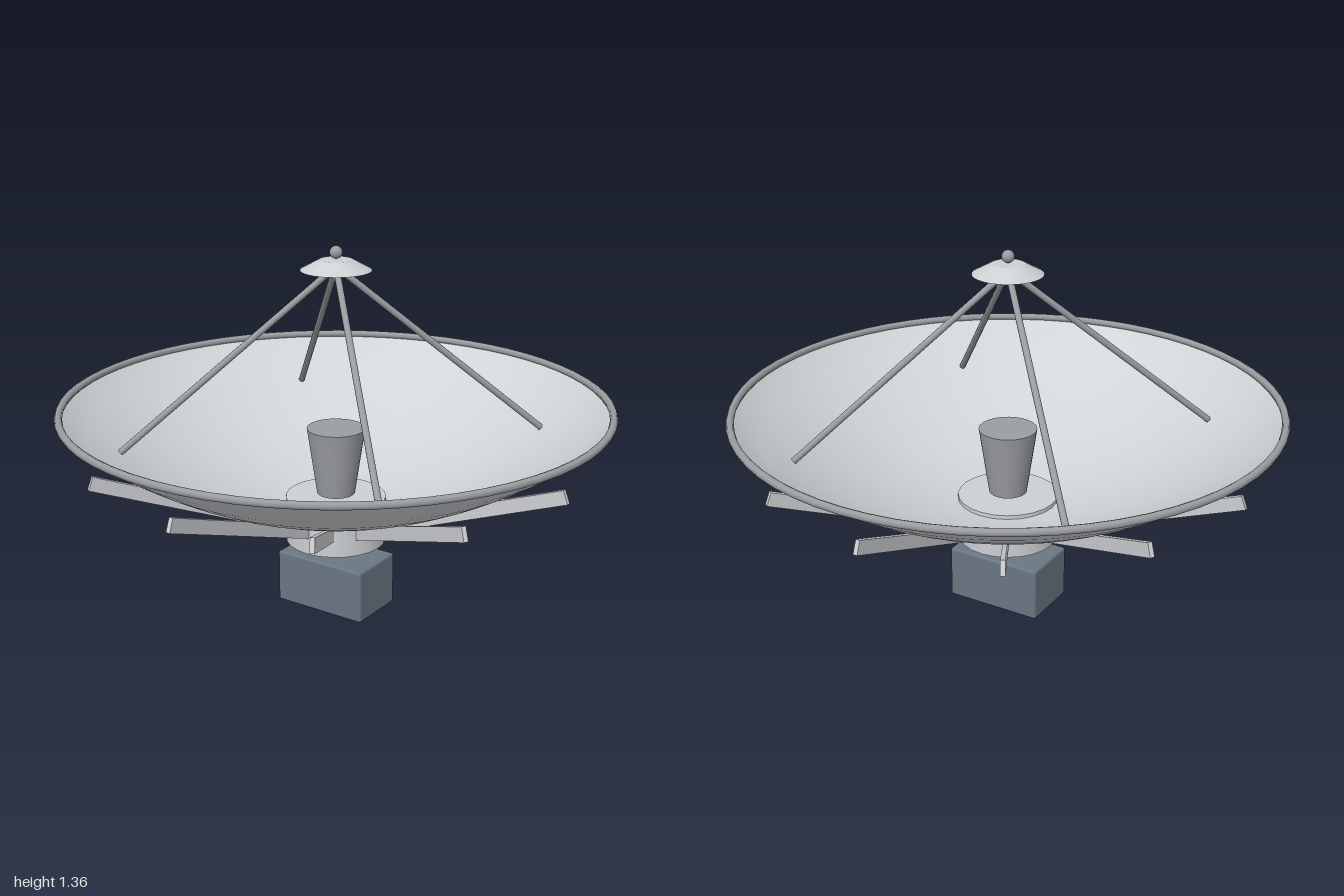
import * as THREE from 'three';
import { RoundedBoxGeometry } from 'three/addons/geometries/RoundedBoxGeometry.js';

const paint = (name, color, side = THREE.FrontSide) => {
  const m = new THREE.MeshStandardMaterial({ color, side });
  m.name = name;
  return m;
};

export function createModel() {
  const group = new THREE.Group();
  group.name = 'dishAntenna';
  const panel = paint('lightPanel', 0xd0d3d7, THREE.DoubleSide);
  const metal = paint('lightMetal', 0xcdd0d3);
  const grey = paint('midGrey', 0x9b9ea1);
  const slate = paint('slateBlue', 0x6a7683);

  const add = (name, geometry, material, x = 0, y = 0, z = 0, parent = group) => {
    const mesh = new THREE.Mesh(geometry, material);
    mesh.name = name;
    mesh.position.set(x, y, z);
    parent.add(mesh);
    return mesh;
  };

  // Parabolic dish with a short upright lip
  const profile = [];
  for (let i = 0; i <= 11; i++) {
    const r = Math.max(0.001, (i / 11) * 0.98);
    profile.push(new THREE.Vector2(r, 0.4 + 0.385 * r * r));
  }
  profile.push(new THREE.Vector2(0.982, 0.787));
  add('dish', new THREE.LatheGeometry(profile, 64), panel);

  // Rolled edge of the dish
  const rim = new THREE.TorusGeometry(0.986, 0.014, 8, 64);
  rim.rotateX(Math.PI / 2);
  add('rim', rim, grey, 0, 0.783, 0);

  // Hub and control box below the dish
  add('hub', new THREE.CylinderGeometry(0.185, 0.185, 0.17, 24), metal, 0, 0.343, 0);
  add('controlBox', new RoundedBoxGeometry(0.37, 0.2, 0.23, 2, 0.01), slate, 0, 0.1, 0);

  // Twelve sloping ribs around the hub
  const ribGeometry = new THREE.BoxGeometry(0.82, 0.05, 0.016);
  for (let i = 0; i < 12; i++) {
    const spoke = new THREE.Group();
    spoke.name = 'ribSpoke' + (i + 1);
    spoke.rotation.y = (i * Math.PI) / 6;
    add('rib', ribGeometry, metal, 0.536, 0.48, 0, spoke).rotation.z = 0.364;
    group.add(spoke);
  }

  // Feed horn in the middle of the dish
  add('feedHorn', new THREE.CylinderGeometry(0.107, 0.07, 0.25, 24), grey, 0, 0.565, 0);

  // Four struts meeting above the centre
  const apex = new THREE.Vector3(0, 1.285, 0);
  for (const sx of [-1, 1]) {
    for (const sz of [-1, 1]) {
      const foot = new THREE.Vector3(sx * 0.55, 0.645, sz * 0.55);
      const direction = apex.clone().sub(foot);
      const strut = add('strut', new THREE.CylinderGeometry(0.012, 0.012, direction.length(), 10), grey);
      strut.position.copy(foot).add(apex).multiplyScalar(0.5);
      strut.quaternion.setFromUnitVectors(new THREE.Vector3(0, 1, 0), direction.normalize());
    }
  }

  // Small reflector and ball at the top
  add('subReflector', new THREE.CylinderGeometry(0.06, 0.127, 0.037, 32), metal, 0, 1.291, 0);
  add('tipBall', new THREE.SphereGeometry(0.023, 16, 12), grey, 0, 1.335, 0);

  return group;
}
